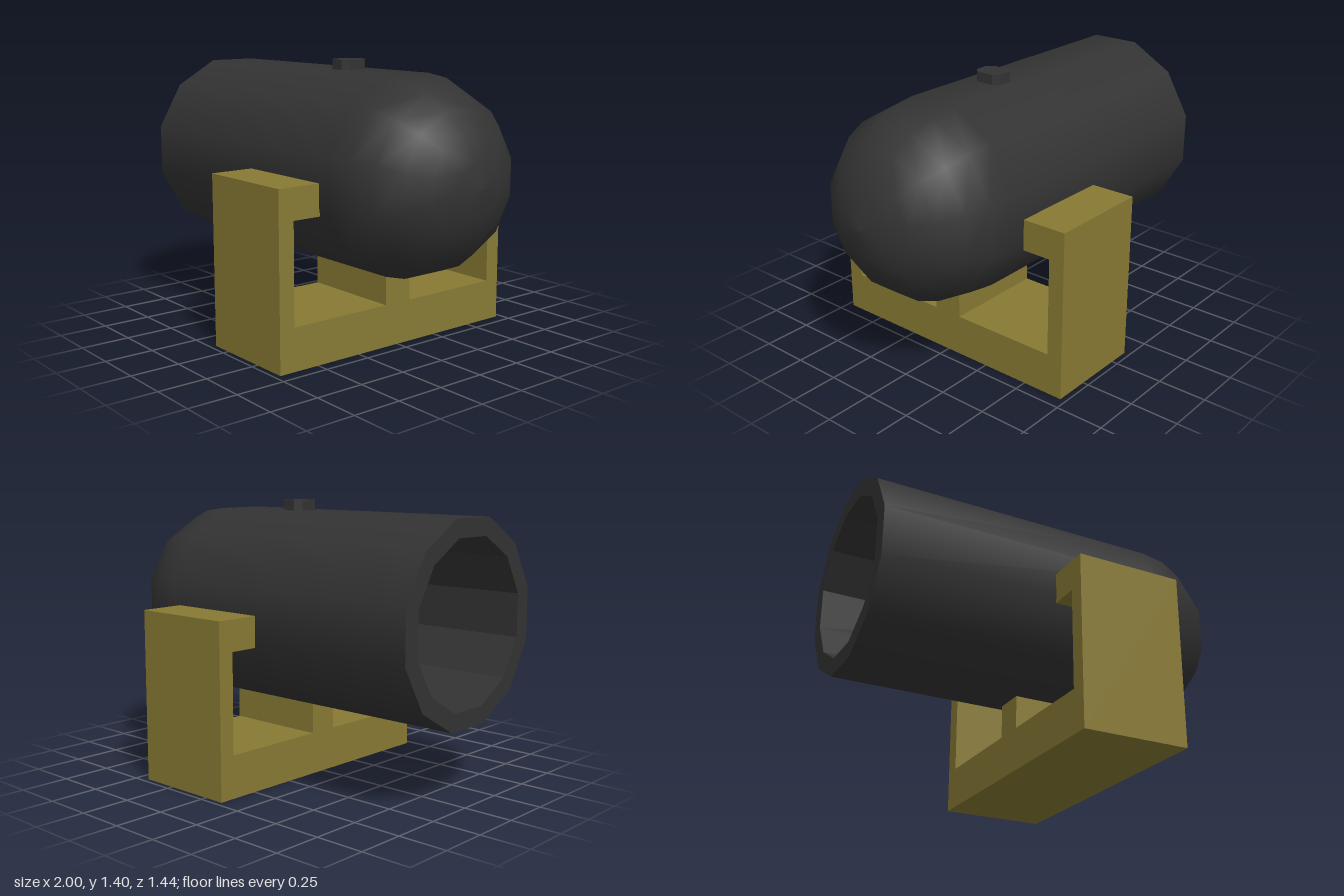
import * as THREE from 'three';

const iron = new THREE.MeshStandardMaterial({ color: 0x333333 });
const ironFlat = new THREE.MeshStandardMaterial({ color: 0x333333, flatShading: true });
const wood = new THREE.MeshStandardMaterial({ color: 0x887a34, flatShading: true });

const SIDES = 12, RADIUS = 0.5, BORE = 0.41, AXIS_Y = 0.866, AXIS_Z = 0.008;

function addMesh(parent, name, geometry, material) {
  const mesh = new THREE.Mesh(geometry, material);
  mesh.name = name;
  parent.add(mesh);
  return mesh;
}

// Twelve-sided lathe lying along x, with a flat facet on top; points are [radius, x]
function latheAlongX(points) {
  const profile = points.map(([r, x]) => new THREE.Vector2(r, x));
  return new THREE.LatheGeometry(profile, SIDES, Math.PI / SIDES).rotateZ(-Math.PI / 2);
}

function shapeFrom(points) {
  return new THREE.Shape(points.map(([x, y]) => new THREE.Vector2(x, y)));
}

export function createModel() {
  const model = new THREE.Group();
  model.name = 'cannon';

  // Barrel: smooth outer tube closed by a hemispherical breech
  const barrel = new THREE.Group();
  barrel.name = 'barrel';
  barrel.position.set(0, AXIS_Y, AXIS_Z);
  model.add(barrel);
  const outer = [[RADIUS, -1]];
  for (let i = 0; i <= 6; i++) {
    const a = (i / 6) * Math.PI / 2;
    outer.push([i === 6 ? 0 : RADIUS * Math.cos(a), 0.5 + RADIUS * Math.sin(a)]);
  }
  addMesh(barrel, 'barrelShell', latheAlongX(outer), iron);

  // Hollow bore with its end wall and the muzzle rim
  addMesh(barrel, 'boreAndMuzzleRim',
    latheAlongX([[0, 0.5], [BORE, 0.5], [BORE, -1], [RADIUS, -1]]), ironFlat);

  // Small chamfered vent cap on top of the barrel
  const cap = [];
  for (const [sx, sz] of [[1, 1], [-1, 1], [-1, -1], [1, -1]]) {
    const corner = [[0.065 * sx, 0.046 * sz], [0.035 * sx, 0.077 * sz]];
    cap.push(...(sx * sz > 0 ? corner : corner.reverse()));
  }
  const capGeometry = new THREE.ExtrudeGeometry(shapeFrom(cap), { depth: 0.07, bevelEnabled: false });
  capGeometry.rotateX(-Math.PI / 2);
  addMesh(model, 'ventCap', capGeometry, ironFlat).position.set(0.063, 1.33, AXIS_Z);

  // Stand: one half of the cradle profile, mirrored, then extruded along x
  const half = [[0.72, 0], [0.72, 0.87], [0.488, 0.87], [0.488, 0.715],
    [0.637, 0.715], [0.637, 0.215], [0.079, 0.215], [0.079, 0.4]];
  const mirrored = half.map(([u, v]) => [-u, v]).reverse();
  const standGeometry = new THREE.ExtrudeGeometry(shapeFrom([...half, ...mirrored]),
    { depth: 0.545, bevelEnabled: false });
  standGeometry.rotateY(Math.PI / 2);
  addMesh(model, 'stand', standGeometry, wood).position.x = -0.11;

  return model;
}
